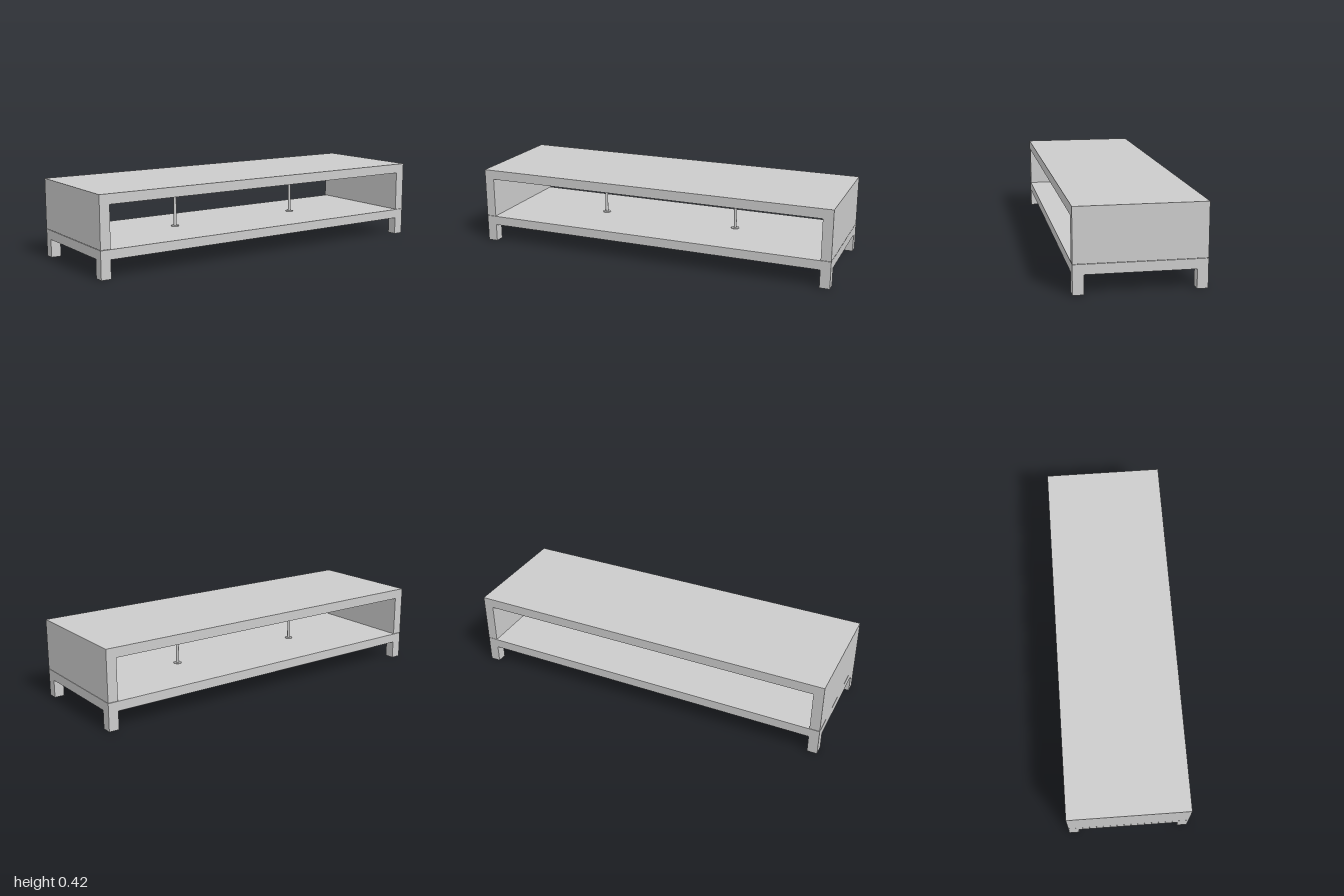
import * as THREE from 'three';

const W = 2, D = 0.646, H = 0.42; // overall size
const T = 0.054;                  // board and leg thickness
const DECK_BOTTOM = 0.097, DECK_TOP = 0.147, HOOD_BOTTOM = 0.149, HOOD_INNER = 0.368;

export function createModel() {
  const group = new THREE.Group();
  const material = new THREE.MeshStandardMaterial({ color: 0xcccccc });

  const add = (name, geometry, x = 0, y = 0, z = 0, parent = group) => {
    const mesh = new THREE.Mesh(geometry, material);
    mesh.name = name;
    mesh.position.set(x, y, z);
    parent.add(mesh);
    return mesh;
  };

  // Outline extruded through the full depth
  const extrude = (points) => {
    const shape = new THREE.Shape(points.map(([x, y]) => new THREE.Vector2(x, y)));
    return new THREE.ExtrudeGeometry(shape, { depth: D, bevelEnabled: false }).translate(0, 0, -D / 2);
  };

  // Upper hood: top board with two side panels, open front and back
  const o = W / 2, i = o - T;
  add('hood', extrude([
    [-o, HOOD_BOTTOM], [-i, HOOD_BOTTOM], [-i, HOOD_INNER], [i, HOOD_INNER],
    [i, HOOD_BOTTOM], [o, HOOD_BOTTOM], [o, H], [-o, H],
  ]));

  // Lower shelf
  add('shelf', new THREE.BoxGeometry(W, DECK_TOP - DECK_BOTTOM, D), 0, (DECK_TOP + DECK_BOTTOM) / 2);

  // Four square legs
  const leg = new THREE.BoxGeometry(T, DECK_BOTTOM, T);
  for (const sx of [-1, 1]) {
    for (const sz of [-1, 1]) {
      add('leg', leg, sx * (o - T / 2), DECK_BOTTOM / 2, sz * (D / 2 - T / 2));
    }
  }

  // Two slim support posts with a round flange at each end
  const postHeight = HOOD_INNER - DECK_TOP, flangeHeight = 0.004;
  const post = new THREE.CylinderGeometry(0.008, 0.008, postHeight, 32);
  const flange = new THREE.CylinderGeometry(0.022, 0.022, flangeHeight, 32);
  for (const sx of [-1, 1]) {
    const support = new THREE.Group();
    support.name = 'support';
    support.position.set(sx * 0.393, (HOOD_INNER + DECK_TOP) / 2, 0);
    add('post', post, 0, 0, 0, support);
    for (const sy of [-1, 1]) add('flange', flange, 0, sy * (postHeight - flangeHeight) / 2, 0, support);
    group.add(support);
  }

  return group;
}
